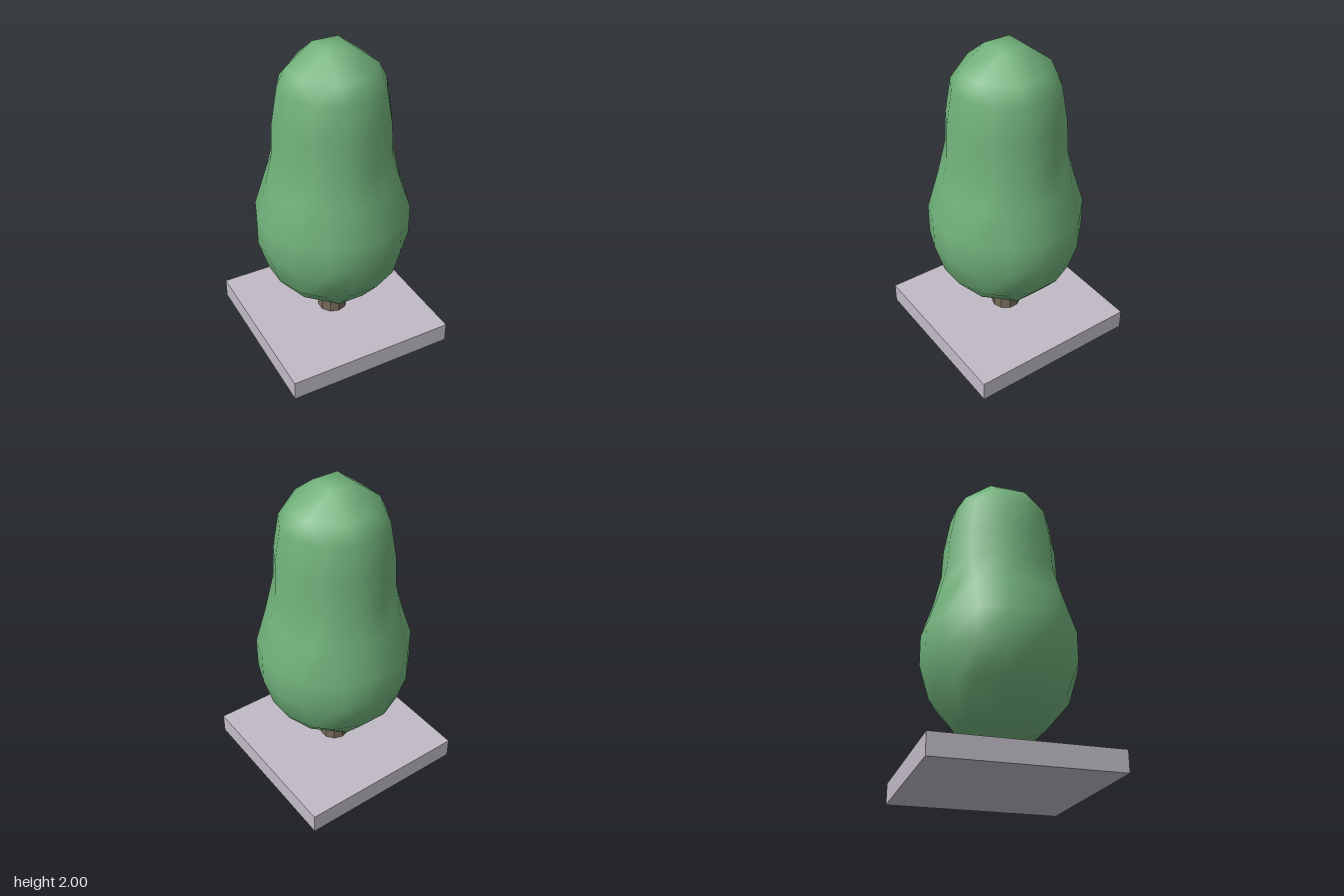
import * as THREE from 'three';

// Crown levels: [height, radius, first and second corner angle in each quarter turn]
const LEVELS = [
  [0.26, 0, 45, 45], [0.26, 0.12, 45, 45], [0.34, 0.265, 19, 19],
  [0.53, 0.42, 12, 37], [0.74, 0.483, 10, 31], [0.93, 0.483, 10, 31],
  [1.15, 0.415, 12, 37], [1.35, 0.37, 13, 45], [1.55, 0.36, 14, 45],
  [1.77, 0.322, 15, 45], [1.87, 0.27, 19, 19], [2.0, 0.12, 45, 45], [2.0, 0, 45, 45],
];

// Faceted but smoothly shaded crown, lofted through rings of 16 points
function crownGeometry() {
  const n = 16, positions = [], indices = [];
  for (const [y, r, a, b] of LEVELS) {
    const corners = [a, b, 90 - b, 90 - a];
    for (let k = 0; k < n; k++) {
      const t = THREE.MathUtils.degToRad(corners[k % 4] + 90 * Math.floor(k / 4));
      positions.push(r * Math.cos(t), y, r * Math.sin(t));
    }
  }
  for (let i = 0; i < LEVELS.length - 1; i++) {
    for (let k = 0; k < n; k++) {
      const p = i * n + k, q = i * n + (k + 1) % n;
      indices.push(p, p + n, q, q, p + n, q + n);
    }
  }
  const geometry = new THREE.BufferGeometry();
  geometry.setAttribute('position', new THREE.Float32BufferAttribute(positions, 3));
  geometry.setIndex(indices);
  geometry.computeVertexNormals();
  // Coincident corners share one averaged normal
  const normal = geometry.attributes.normal, sums = new Map();
  const key = i => [0, 1, 2].map(c => Math.round(positions[3 * i + c] * 1e4)).join();
  for (let i = 0; i < normal.count; i++) {
    const v = new THREE.Vector3().fromBufferAttribute(normal, i);
    if (!sums.has(key(i))) sums.set(key(i), new THREE.Vector3());
    sums.get(key(i)).add(v);
  }
  for (let i = 0; i < normal.count; i++) {
    const v = sums.get(key(i)).clone().normalize();
    normal.setXYZ(i, v.x, v.y, v.z);
  }
  return geometry;
}

export function createModel() {
  const model = new THREE.Group();
  model.name = 'tree';
  const add = (name, geometry, color, y = 0, flatShading = false) => {
    const mesh = new THREE.Mesh(geometry, new THREE.MeshStandardMaterial({ color, flatShading }));
    mesh.name = name;
    mesh.position.y = y;
    model.add(mesh);
  };

  // Square paving slab
  add('base', new THREE.BoxGeometry(1.1, 0.13, 1.1), 0xc0bac6, 0.065);
  // Short trunk running up into the crown
  add('trunk', new THREE.CylinderGeometry(0.095, 0.095, 0.22, 10), 0x786b5a, 0.24, true);
  // Pear-shaped foliage
  add('crown', crownGeometry(), 0x70b07a);
  return model;
}
